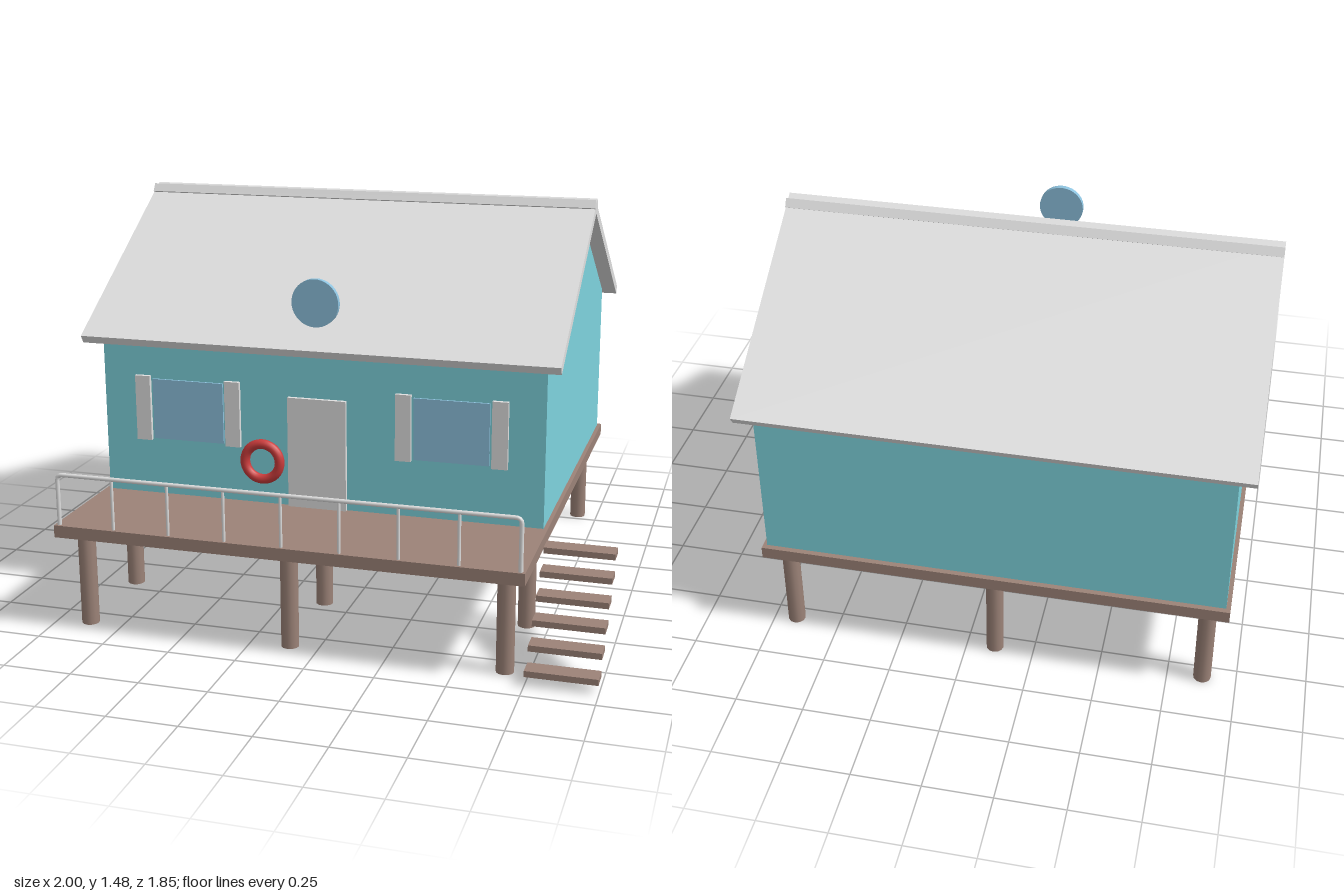
import * as THREE from 'three';

const mat = (name, color) => {
  const m = new THREE.MeshStandardMaterial({ color });
  m.name = name;
  return m;
};

export function createModel() {
  const wall = mat('turquoise wall', 0x7ed3dd);
  const white = mat('pale grey', 0xe0e0e0);
  const wood = mat('brown wood', 0x9c8378);
  const glass = mat('blue glass', 0x8dc2de);
  const red = mat('red', 0xcc3c3c);

  const model = new THREE.Group();
  model.name = 'stiltHouse';
  const MID = -0.105; // centre of the house in x
  const RIDGE = -0.185; // ridge line in z

  const add = (name, geometry, material, x = 0, y = 0, z = 0, parent = model) => {
    const mesh = new THREE.Mesh(geometry, material);
    mesh.name = name;
    mesh.position.set(x, y, z);
    parent.add(mesh);
    return mesh;
  };
  // box given by its limits on each axis
  const box = (name, material, [x0, x1], [y0, y1], [z0, z1], parent = model) =>
    add(name, new THREE.BoxGeometry(x1 - x0, y1 - y0, z1 - z0), material,
      (x0 + x1) / 2, (y0 + y1) / 2, (z0 + z1) / 2, parent);
  const group = (name) => {
    const g = new THREE.Group();
    g.name = name;
    model.add(g);
    return g;
  };

  // Deck on nine stilts
  box('deck', wood, [-0.955, 0.745], [0.355, 0.4], [-0.88, 0.925]);
  const stilts = group('stilts');
  const stiltGeo = new THREE.CylinderGeometry(0.032, 0.032, 0.355, 12);
  for (const x of [-0.772, 0, 0.772])
    for (const z of [0.83, 0.43, -0.8]) add('stilt', stiltGeo, wood, MID + x, 0.1775, z, stilts);

  // Open stair treads at the side
  const stairs = group('stairs');
  const treadGeo = new THREE.BoxGeometry(0.25, 0.022, 0.07);
  for (let i = 0; i < 6; i++)
    add('stairTread', treadGeo, wood, 0.873, 0.043 + i * 0.0628, 0.888 - i * 0.0672, stairs);

  // House body: gable outline (-z, y) extruded along x
  const gable = new THREE.Shape([[-0.49, 0.4], [0.86, 0.4], [0.86, 1.0], [-RIDGE, 1.42], [-0.49, 1.0]]
    .map(([x, y]) => new THREE.Vector2(x, y)));
  const body = new THREE.ExtrudeGeometry(gable, { depth: 1.67, bevelEnabled: false });
  body.rotateY(Math.PI / 2);
  add('houseWalls', body, wall, -0.94, 0, 0);

  // Two roof slabs crossing at the ridge
  const roof = group('roof');
  const slab = new THREE.BoxGeometry(1.785, 0.034, 0.895);
  for (const s of [1, -1])
    add('roofSlab', slab, white, -0.1075, 1.228, RIDGE + s * 0.35, roof).rotation.x = s * 0.5565;

  // Door and shuttered windows on the front wall
  box('door', white, [-0.217, 0.004], [0.4, 0.815], [0.485, 0.505]);
  for (const x of [-0.607, 0.393]) {
    const win = group('window');
    box('windowPane', glass, [x - 0.138, x + 0.138], [0.617, 0.846], [0.489, 0.498], win);
    for (const s of [-1, 1]) {
      const c = x + s * 0.176;
      box('shutter', white, [c - 0.029, c + 0.029], [0.61, 0.857], [0.485, 0.505], win);
    }
  }

  // Round gable window in front of the roof
  const disc = new THREE.CylinderGeometry(0.087, 0.087, 0.02, 40);
  disc.rotateX(Math.PI / 2);
  add('roundWindow', disc, glass, MID, 1.17, 0.5);

  // Life ring
  add('lifeRing', new THREE.TorusGeometry(0.067, 0.018, 14, 40), red, -0.315, 0.565, 0.508);

  // Railing: one bent tube with uprights between
  const railing = group('railing');
  const X0 = -0.938, X1 = 0.728, TOP = 0.587, R = 0.02;
  const p = (x, y) => new THREE.Vector3(x, y, 0.911);
  const path = new THREE.CurvePath();
  path.add(new THREE.LineCurve3(p(X0, 0.4), p(X0, TOP - R)));
  path.add(new THREE.QuadraticBezierCurve3(p(X0, TOP - R), p(X0, TOP), p(X0 + R, TOP)));
  path.add(new THREE.LineCurve3(p(X0 + R, TOP), p(X1 - R, TOP)));
  path.add(new THREE.QuadraticBezierCurve3(p(X1 - R, TOP), p(X1, TOP), p(X1, TOP - R)));
  path.add(new THREE.LineCurve3(p(X1, TOP - R), p(X1, 0.4)));
  add('handrail', new THREE.TubeGeometry(path, 240, 0.008, 8), white, 0, 0, 0, railing);
  const upright = new THREE.CylinderGeometry(0.006, 0.006, TOP - 0.4, 8);
  for (let i = 1; i < 8; i++)
    add('railUpright', upright, white, X0 + (i * (X1 - X0)) / 8, (TOP + 0.4) / 2, 0.911, railing);

  return model;
}
